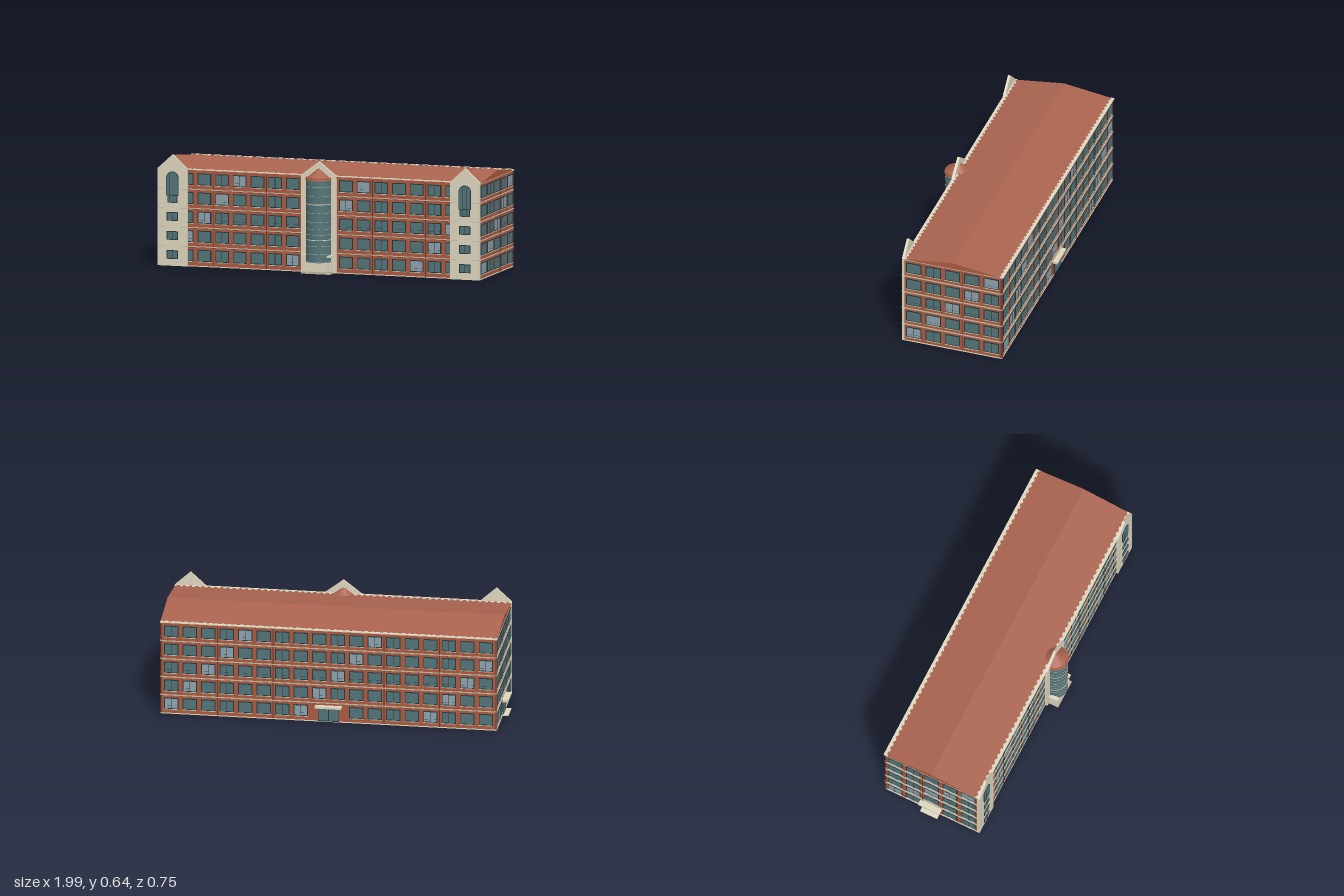
import * as THREE from 'three';
import { mergeGeometries } from 'three/addons/utils/BufferGeometryUtils.js';

const mat = (name, color) => {
  const m = new THREE.MeshStandardMaterial({ color });
  m.name = name;
  return m;
};

const HALF_L = 0.965, HALF_D = 0.2925, EAVE = 0.555, RIDGE = 0.594;
const FLOOR = 0.1098, SILL_Y = 0.03, WIN_H = 0.0675;

export function createModel() {
  const M = {
    brick: mat('brick', 0xad5a40), roof: mat('roof', 0xab6450), stone: mat('stone', 0xdfd7c0),
    course: mat('course', 0xbdb5a2), glass: mat('glass', 0x547579), pale: mat('paleGlass', 0x8ea3ae),
    frame: mat('frame', 0x24393f), pipe: mat('pipe', 0x6a3527),
  };
  const model = new THREE.Group();
  model.name = 'officeBuilding';
  const building = new THREE.Group();
  building.name = 'building';
  building.rotation.y = 0.067;
  building.position.set(0.005, 0, -0.006);
  model.add(building);

  const add = (parent, name, geometry, material, x = 0, y = 0, z = 0) => {
    const mesh = new THREE.Mesh(geometry, material);
    mesh.name = name;
    mesh.position.set(x, y, z);
    parent.add(mesh);
    return mesh;
  };
  // Box given by its limits
  const span = (x0, x1, y0, y1, z0, z1) => new THREE.BoxGeometry(x1 - x0, y1 - y0, z1 - z0)
    .translate((x0 + x1) / 2, (y0 + y1) / 2, (z0 + z1) / 2);
  const extrude = (points, depth) => new THREE.ExtrudeGeometry(
    new THREE.Shape(points.map(p => new THREE.Vector2(...p))), { depth, bevelEnabled: false });

  // Collects boxes by part, then merges each part into one mesh
  const collector = () => {
    const parts = {};
    return {
      put(name, material, geometry) {
        (parts[name] ??= { material, list: [] }).list.push(geometry);
      },
      flush(group) {
        for (const [name, p] of Object.entries(parts)) add(group, name, mergeGeometries(p.list), p.material);
      },
    };
  };

  // Walls and roof
  add(building, 'walls', span(-HALF_L, HALF_L, 0, EAVE, -HALF_D, HALF_D), M.brick);
  const roof = extrude([[-HALF_D - 0.002, EAVE], [HALF_D + 0.002, EAVE], [0, RIDGE]], 2 * HALF_L + 0.008);
  roof.translate(0, 0, -HALF_L - 0.004).rotateY(Math.PI / 2);
  add(building, 'roof', roof, [M.brick, M.roof]);

  // Window: frame, glass, bars and sill, with u across and z outward
  const windowAt = (c, u, w, y, h, { pale, bar, transom, sill = true } = {}) => {
    const x0 = u - w / 2, x1 = u + w / 2, t = 0.005, b = pale ? 0.0007 : 0.0014;
    c.put('windowFrames', M.frame, span(x0, x1, y, y + h, 0, 0.004));
    c.put(pale ? 'paleWindowGlass' : 'windowGlass', pale ? M.pale : M.glass,
      span(x0 + t, x1 - t, y + t, y + h - t, 0.001, 0.005));
    if (bar || pale) c.put('windowBars', M.frame, span(u - b, u + b, y, y + h, 0.002, 0.006));
    if (transom || pale) c.put('windowBars', M.frame, span(x0, x1, y + h * 0.28, y + h * 0.28 + b, 0.002, 0.006));
    if (sill) c.put('windowSills', M.course, span(x0, x1, y - 0.004, y - 0.0005, 0, 0.007));
  };

  // One elevation of five floors
  const facade = (name, { n, pitch, w, half, out, turn, barAt, offset, skip, pipes }) => {
    const g = new THREE.Group(), c = collector();
    g.name = name;
    for (let f = 0; f < 5; f++) {
      const y = SILL_Y + f * FLOOR;
      for (let i = 0; i < n; i++) {
        const u = (i - (n - 1) / 2) * pitch + offset;
        if (skip(u, f, i)) continue;
        windowAt(c, u, w, y, WIN_H, { pale: (i - f) % 7 === 0, bar: i % 3 === barAt, transom: f === 2 });
      }
      if (f) {
        const b = f * FLOOR + 0.005;
        c.put('stringCourses', M.course, span(-half, half, b - 0.003, b + 0.002, 0, 0.006));
        c.put('courseShadowJoints', M.pipe, span(-half, half, b - 0.005, b - 0.003, 0, 0.002));
      }
    }
    c.put('plinth', M.stone, span(-half, half, 0, 0.005, 0, 0.003));
    for (const u of pipes) c.put('downpipes', M.pipe, span(u - 0.0018, u + 0.0018, 0.005, EAVE - 0.007, 0, 0.004));
    c.flush(g);
    g.rotation.y = turn;
    g.position.set(Math.sin(turn) * out, 0, Math.cos(turn) * out);
    building.add(g);
  };
  const long = { n: 18, pitch: 0.1065, w: 0.081, half: HALF_L, out: HALF_D, barAt: 0, offset: 0 };
  const short = { n: 5, pitch: 0.1165, w: 0.091, half: HALF_D, out: HALF_L, barAt: 1 };
  facade('frontFacade', { ...long, turn: 0, skip: u => Math.abs(u) < 0.1 || Math.abs(u) > 0.85,
    pipes: [-0.639, -0.3195, 0.3195, 0.639] });
  facade('backFacade', { ...long, turn: Math.PI, skip: (u, f) => f === 0 && Math.abs(u) < 0.1,
    pipes: [-0.96, -0.639, -0.3195, 0.3195, 0.639, 0.96] });
  facade('rightEndFacade', { ...short, turn: Math.PI / 2, offset: -0.003, skip: () => false, pipes: [0.055, 0.289] });
  facade('leftEndFacade', { ...short, turn: -Math.PI / 2, offset: 0.003, skip: (u, f, i) => f === 0 && i === 2,
    pipes: [-0.289, -0.055] });

  // Eaves: brick fascia, thin stone capping and tile ends lapping over it
  for (const s of [-1, 1]) {
    const c = collector();
    const z = (a, b) => (s > 0 ? [a, b] : [-b, -a]);
    c.put('eaveFascia', M.brick, span(-HALF_L - 0.002, HALF_L + 0.002, 0.548, 0.5555, ...z(0.285, 0.301)));
    c.put('eaveCapping', M.stone, span(-HALF_L - 0.003, HALF_L + 0.003, 0.5555, 0.5605, ...z(0.279, 0.303)));
    for (let i = 0; i < 54; i++) {
      const x = (i - 26.5) * 0.0358;
      c.put('eaveTileEnds', M.roof, span(x - 0.009, x + 0.009, 0.558, 0.5615, ...z(0.276, 0.286)));
    }
    c.flush(building);
    add(building, 'endEaveTrim', span(-0.003, 0.003, 0.552, 0.5545, -0.298, 0.298), M.course, s * (HALF_L + 0.003));
  }

  // Stone bays with pointed gables
  const gableBay = (name, x, hw) => {
    const g = new THREE.Group();
    g.name = name;
    g.position.set(x, 0, HALF_D + 0.001);
    add(g, 'bayWall', extrude([[-hw, 0], [hw, 0], [hw, 0.56], [0, 0.641], [-hw, 0.56]], 0.0145), M.stone);
    building.add(g);
    return g;
  };
  // Arched opening with a narrower foot
  const arch = (hw, foot, y0, y1) => {
    const s = new THREE.Shape();
    s.moveTo(-foot, y0);
    s.lineTo(foot, y0);
    s.lineTo(foot, 0.405);
    s.lineTo(hw, 0.405);
    s.lineTo(hw, y1 - hw);
    s.absarc(0, y1 - hw, hw, 0, Math.PI, false);
    s.lineTo(-hw, 0.405);
    s.lineTo(-foot, 0.405);
    s.closePath();
    return new THREE.ExtrudeGeometry(s, { depth: 0.003, bevelEnabled: false, curveSegments: 10 });
  };
  for (const s of [-1, 1]) {
    const g = gableBay(s > 0 ? 'leftBay' : 'rightBay', s * 0.88, 0.089), c = collector();
    const face = new THREE.Group();
    face.name = 'bayWindows';
    face.position.z = 0.0145;
    for (let f = 0; f < 3; f++) windowAt(c, 0, 0.066, 0.04 + f * FLOOR, 0.05, { bar: true, sill: false });
    for (let f = 1; f < 5; f++) for (const k of [-1, 1]) {
      const b = f * FLOOR + 0.005;
      c.put('bayJoints', M.course, span(k * 0.068 - 0.021, k * 0.068 + 0.021, b - 0.0015, b + 0.0015, 0, 0.002));
    }
    c.put('archBars', M.frame, span(-0.034, 0.034, 0.404, 0.408, 0.002, 0.006));
    for (const u of [-0.014, 0.014]) c.put('archBars', M.frame, span(u - 0.001, u + 0.001, 0.367, 0.53, 0.002, 0.006));
    c.flush(face);
    add(face, 'archFrame', arch(0.037, 0.03, 0.363, 0.543), M.frame);
    add(face, 'archGlass', arch(0.033, 0.026, 0.367, 0.539), M.glass, 0, 0, 0.002);
    g.add(face);
  }
  gableBay('centreBay', 0, 0.105);

  // Round glass stair tower
  const tower = new THREE.Group();
  tower.name = 'stairTower';
  tower.position.z = 0.304;
  building.add(tower);
  const R = 0.0735;
  const drum = (name, r, y0, y1, m) => add(tower, name, new THREE.CylinderGeometry(r, r, y1 - y0, 32), m, 0, (y0 + y1) / 2);
  drum('towerGlass', R, 0.065, 0.536, M.glass);
  for (const y of [0.068, 0.112, 0.158, 0.225, 0.258, 0.298, 0.35, 0.445, 0.498]) drum('towerRing', R + 0.001, y, y + 0.002, M.course);
  for (const y of [0.193, 0.398]) drum('stoneRing', R + 0.0015, y, y + 0.004, M.stone);
  drum('towerBrickBand', R + 0.0015, 0.536, 0.55, M.brick);
  const cone = [[0.078, 0.537], [0.078, 0.54], [0.064, 0.552], [0, 0.604]].map(p => new THREE.Vector2(...p));
  add(tower, 'towerRoof', new THREE.LatheGeometry(cone, 32), M.roof);

  // Front porch below the tower, with a stone screen across the front
  drum('porchGlass', 0.043, 0.01, 0.066, M.frame);
  add(tower, 'porchScreen', span(-0.072, 0.072, 0.012, 0.066, 0.044, 0.055), M.stone);
  for (const s of [-1, 1]) {
    add(tower, 'porchPier', span(-0.011, 0.011, 0, 0.066, 0, 0.008), M.stone, s * 0.066);
    for (const z of [0.018, 0.03])
      add(tower, 'porchColumn', new THREE.CylinderGeometry(0.004, 0.004, 0.056, 10), M.frame, s * 0.056, 0.038, z);
    add(tower, 'porchLedge', span(-0.012, 0.012, 0.096, 0.106, 0, 0.056), M.stone, s * 0.077);
  }
  add(tower, 'porchLowerStep', span(-0.088, 0.088, 0, 0.006, 0, 0.063), M.course);
  add(tower, 'porchUpperStep', span(-0.08, 0.08, 0.006, 0.012, 0, 0.058), M.course);

  // Back and left end entrances
  const entrance = (name, turn, out, hw, reach, doorHw, step) => {
    const g = new THREE.Group();
    g.name = name;
    g.rotation.y = turn;
    g.position.set(Math.sin(turn) * out, 0, Math.cos(turn) * out);
    add(g, 'doorFrame', span(-doorHw, doorHw, 0.004, 0.085, 0, 0.006), M.frame);
    for (const s of [-1, 1])
      add(g, 'doorGlass', span(-doorHw / 2 + 0.003, doorHw / 2 - 0.003, 0.01, 0.08, 0.002, 0.008), M.glass, s * doorHw / 2);
    add(g, 'canopy', span(-hw, hw, 0.087, 0.1, 0, reach), M.stone);
    if (step) add(g, 'doorStep', span(-hw * 0.8, hw * 0.8, 0, 0.006, 0, reach), M.stone);
    building.add(g);
  };
  entrance('backEntrance', Math.PI, HALF_D, 0.076, 0.028, 0.06, false);
  entrance('leftEndEntrance', -Math.PI / 2, HALF_L, 0.068, 0.036, 0.046, true);

  return model;
}
